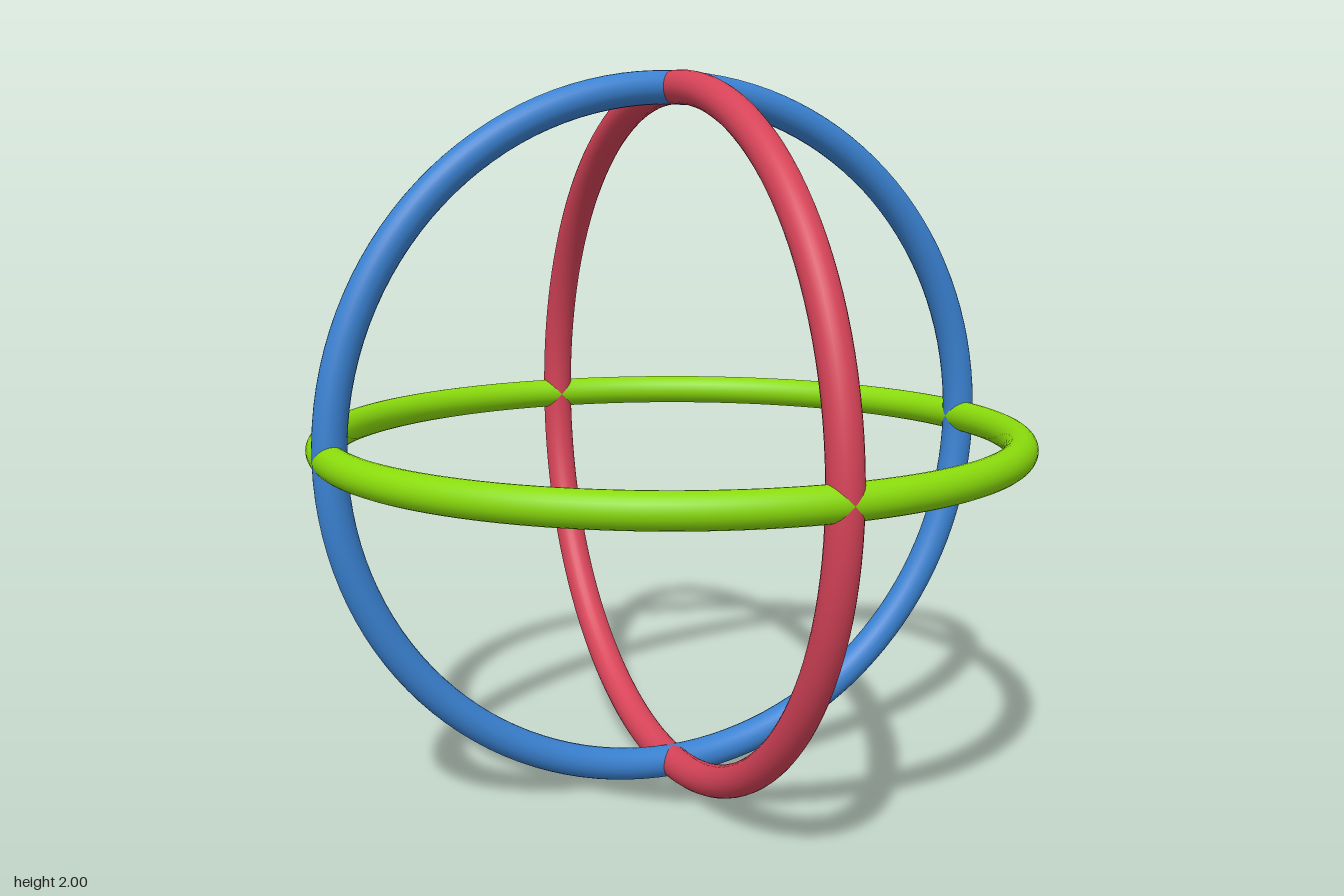
import * as THREE from 'three';

const TUBE = 0.045;
const RADIUS = 1 - TUBE;

// One full ring, turned from the XY plane to its own plane
function ring(name, color, rotX, rotY) {
  const mesh = new THREE.Mesh(
    new THREE.TorusGeometry(RADIUS, TUBE, 24, 128),
    new THREE.MeshStandardMaterial({ color })
  );
  mesh.name = name;
  mesh.rotation.set(rotX, rotY, 0);
  mesh.position.y = 1;
  return mesh;
}

export function createModel() {
  const group = new THREE.Group();
  group.name = 'rotationRings';

  // Three equal rings, one across each axis
  group.add(
    ring('redSideRing', 0xd64358, 0, Math.PI / 2),
    ring('greenLevelRing', 0x8adb0c, Math.PI / 2, 0),
    ring('blueFrontRing', 0x3a82d2, 0, 0)
  );
  return group;
}
